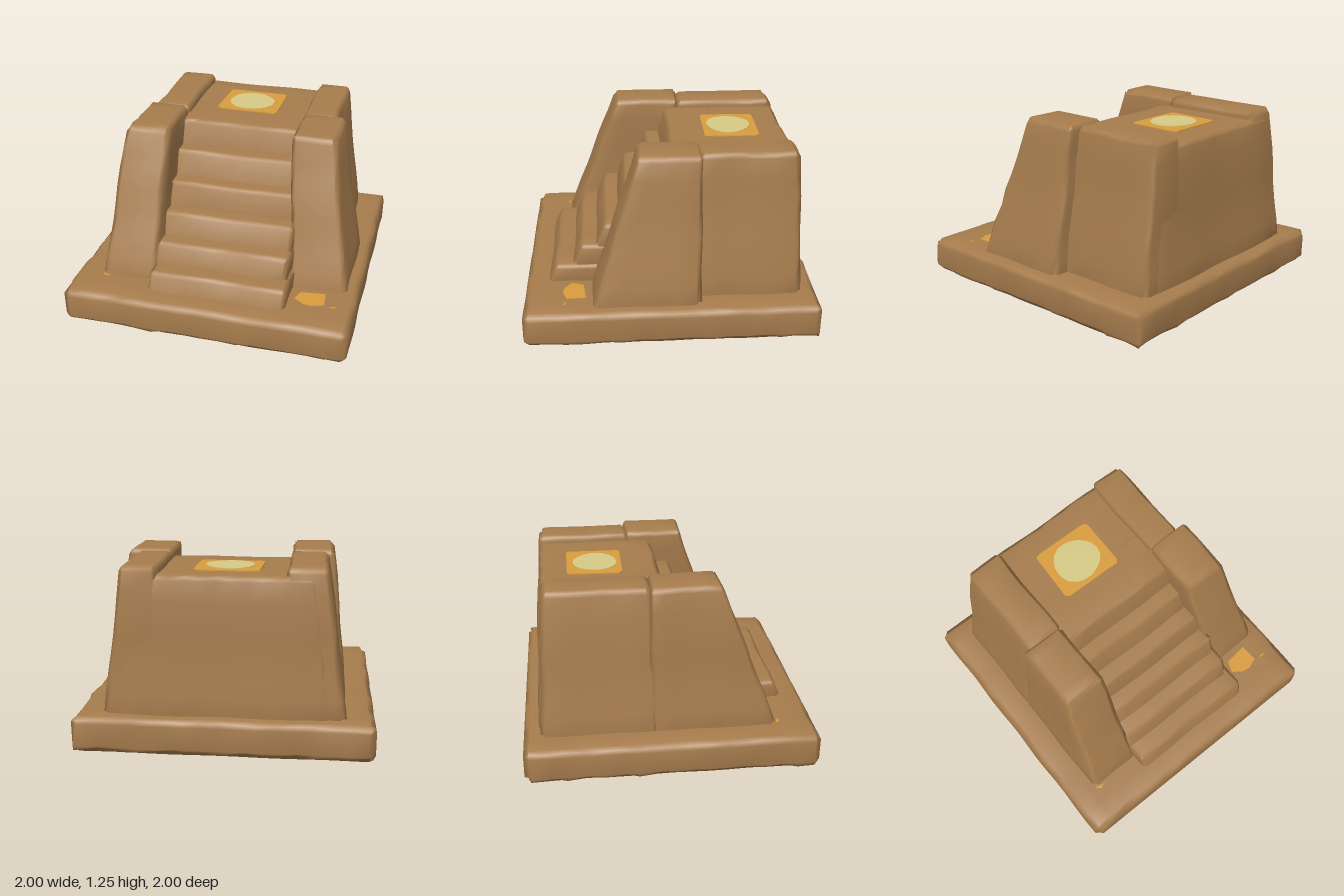
import * as THREE from 'three';
import { mergeVertices } from 'three/addons/utils/BufferGeometryUtils.js';

const stone = new THREE.MeshStandardMaterial({ name: 'sandstone', color: 0xa67c4d });
const gold = new THREE.MeshStandardMaterial({ name: 'gold', color: 0xd99d3d });
const pale = new THREE.MeshStandardMaterial({ name: 'paleGold', color: 0xd6ca85 });

// Repeatable value 0..1 for a point in space
const hash = (x, y, z) => {
  const s = Math.sin(x * 127.1 + y * 311.7 + z * 74.7) * 43758.5453;
  return s - Math.floor(s);
};
const wave = (a, b, c) => Math.sin(a * 9 + c * 5) * 0.5 + Math.sin(b * 11 - c * 7 + 1.3) * 0.5;

// Worn stone block: rects are [x0, x1, z0, z1] at the bottom and at the top
function stoneBlock(name, bottom, top, y0, y1, bevel = 0.04) {
  const size = [bottom[1] - bottom[0], y1 - y0, bottom[3] - bottom[2]];
  const segs = size.map((s) => Math.max(3, Math.round(s / 0.11)));
  let geo = new THREE.BoxGeometry(1, 1, 1, ...segs);
  geo.deleteAttribute('normal');
  geo.deleteAttribute('uv');
  const pos = geo.attributes.position;
  for (let i = 0; i < pos.count; i++) {
    const k = [pos.getX(i), pos.getY(i), pos.getZ(i)].map((v, a) => Math.round((v + 0.5) * segs[a]));
    const onEdge = k.filter((v, a) => v === 0 || v === segs[a]).length > 1;
    const chip = bevel * (0.25 + 0.55 * hash(k[0] + y1, k[1] + bottom[0], k[2] + bottom[3]));
    const [u, v, w] = k.map((n, a) => {
      const b = bevel / size[a], pull = onEdge ? chip / size[a] : 0;
      if (n === 0) return pull;
      if (n === segs[a]) return 1 - pull;
      return b + ((n - 1) / (segs[a] - 2)) * (1 - 2 * b);
    });
    const r = bottom.map((e, j) => THREE.MathUtils.lerp(e, top[j], v));
    const x = THREE.MathUtils.lerp(r[0], r[1], u);
    const y = THREE.MathUtils.lerp(y0, y1, v);
    const z = THREE.MathUtils.lerp(r[2], r[3], w);
    pos.setXYZ(i,
      THREE.MathUtils.clamp(x + 0.008 * wave(y, z, x), -1, 1),
      Math.max(0, y + (v > 0 ? 0.003 * wave(x, z, y) : 0)),
      THREE.MathUtils.clamp(z + 0.008 * wave(x, y, z), -1, 1));
  }
  geo = mergeVertices(geo, 1e-4);
  geo.computeVertexNormals();
  const mesh = new THREE.Mesh(geo, stone);
  mesh.name = name;
  return mesh;
}

// Thin flat plate lying on a surface
function plate(name, points, y, material) {
  const shape = new THREE.Shape(points.map(([x, z]) => new THREE.Vector2(x, -z)));
  const geo = new THREE.ExtrudeGeometry(shape, { depth: 0.008, bevelEnabled: false });
  const mesh = new THREE.Mesh(geo.rotateX(-Math.PI / 2), material);
  mesh.position.y = y;
  mesh.name = name;
  return mesh;
}

export function createModel() {
  const group = new THREE.Group();
  group.name = 'steppedShrine';

  // Ground slab and central body
  group.add(
    stoneBlock('baseSlab', [-1, 1, -1, 1], [-1, 1, -1, 1], 0, 0.248, 0.045),
    stoneBlock('body', [-0.72, 0.72, -0.9, 0.03], [-0.6, 0.6, -0.855, -0.03], 0.2, 1.177, 0.035),
  );

  // Side walls: upright rear blocks and sloping front buttresses
  group.add(
    stoneBlock('rightRearWall', [-0.81, -0.41, -0.89, -0.08], [-0.67, -0.41, -0.84, -0.12], 0.2, 1.235),
    stoneBlock('leftRearWall', [0.43, 0.81, -0.89, -0.15], [0.43, 0.67, -0.86, -0.18], 0.2, 1.235),
    stoneBlock('rightButtress', [-0.81, -0.41, -0.13, 0.74], [-0.71, -0.41, -0.13, 0.34], 0.2, 1.245),
    stoneBlock('leftButtress', [0.51, 0.92, -0.2, 0.55], [0.43, 0.74, -0.2, 0.21], 0.2, 1.245),
  );

  // Stairs, each with a sloping worn riser: [tread height, front edge z, left end x]
  const steps = [
    [1.177, -0.03, 0.47], [1.0, 0.13, 0.48], [0.83, 0.29, 0.49],
    [0.66, 0.45, 0.51], [0.51, 0.61, 0.52], [0.37, 0.79, 0.545],
  ];
  steps.forEach(([y, z, x1], i) => {
    const yLow = i < 5 ? steps[i + 1][0] - 0.04 : 0.2;
    const back = z - 0.36;
    group.add(stoneBlock(`step${i + 1}`, [-0.43, x1, back, z + 0.07], [-0.43, x1, back, z], yLow, y, 0.03));
  });

  // Golden tile with a pale disc on the platform
  group.add(plate('goldTile', [
    [-0.22, -0.65], [-0.18, -0.66], [0.2, -0.655], [0.22, -0.63],
    [0.215, -0.29], [0.2, -0.27], [-0.21, -0.275], [-0.235, -0.3],
  ], 1.177, gold));
  const disc = [];
  for (let i = 0; i < 20; i++) {
    const a = (i / 20) * Math.PI * 2;
    const r = 1 + 0.03 * Math.sin(a * 3 + 1);
    disc.push([-0.01 + 0.168 * r * Math.cos(a), -0.457 + 0.155 * r * Math.sin(a)]);
  }
  group.add(plate('paleDisc', disc, 1.182, pale));

  // Gold flecks on the slab
  group.add(
    plate('goldFleck', [[0.61, 0.6], [0.78, 0.58], [0.79, 0.71], [0.71, 0.74], [0.65, 0.73], [0.58, 0.68]], 0.246, gold),
    plate('smallFleckLeft', [[0.83, 0.718], [0.87, 0.715], [0.87, 0.728], [0.83, 0.726]], 0.246, gold),
    plate('smallFleckRight', [[-0.81, 0.72], [-0.74, 0.74], [-0.77, 0.755]], 0.246, gold),
  );
  return group;
}
